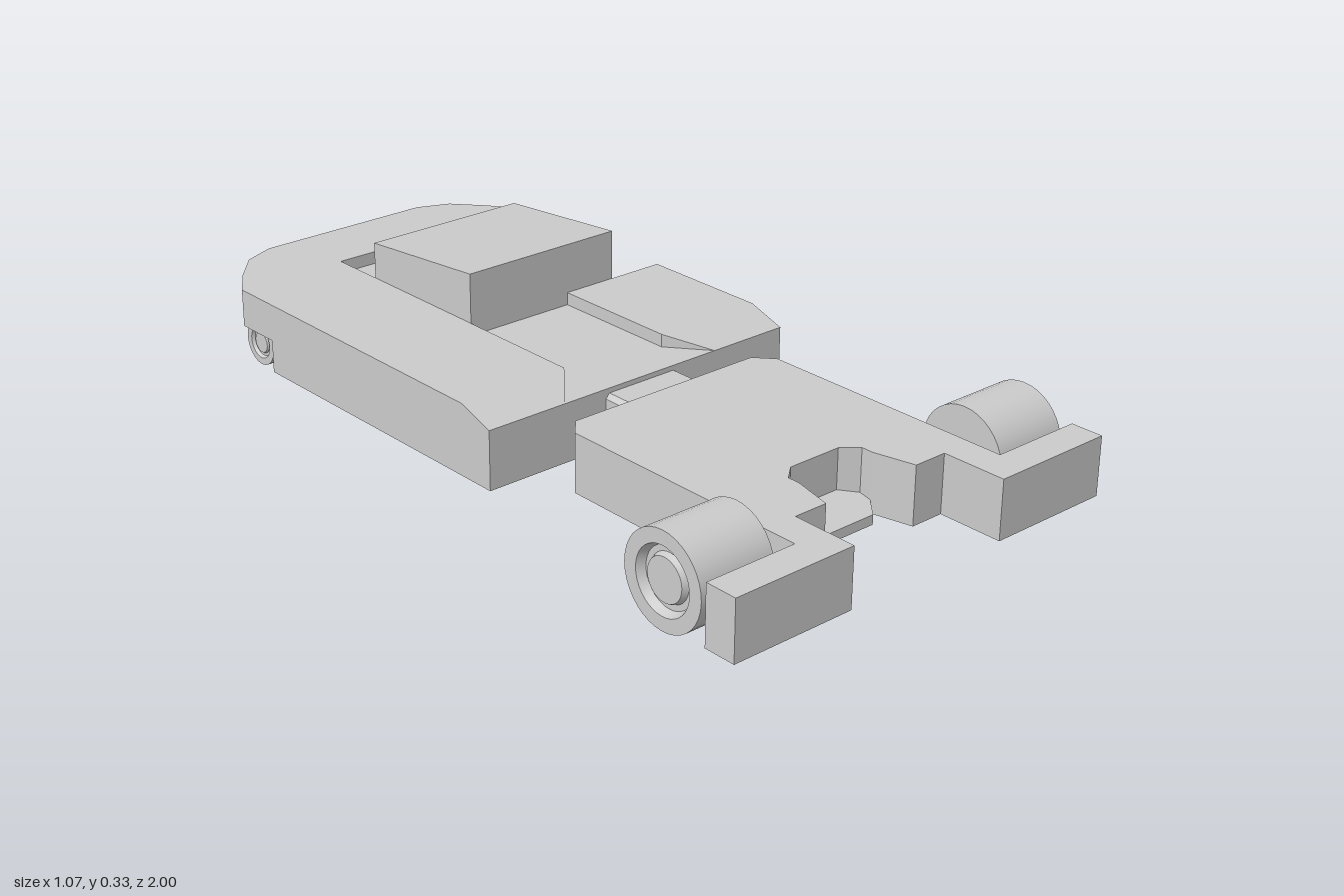
import * as THREE from 'three';
import { ConvexGeometry } from 'three/addons/geometries/ConvexGeometry.js';

const material = new THREE.MeshStandardMaterial({ color: 0xcccccc, flatShading: true });
const smooth = new THREE.MeshStandardMaterial({ color: 0xcccccc });

// Plan outline of [x, z] points raised from y0 to y1
function slab(points, y0, y1) {
  const shape = new THREE.Shape(points.map(([x, z]) => new THREE.Vector2(x, -z)));
  const g = new THREE.ExtrudeGeometry(shape, { depth: y1 - y0, bevelEnabled: false });
  return g.rotateX(-Math.PI / 2).translate(0, y0, 0);
}

// Half outline (+x side) completed by its mirror image
const flipX = (points) => points.map(([x, z]) => [-x, z]).reverse();
const mirrored = (half) => [...half, ...flipX(half)];

function box(x0, x1, y0, y1, z0, z1) {
  return new THREE.BoxGeometry(x1 - x0, y1 - y0, z1 - z0)
    .translate((x0 + x1) / 2, (y0 + y1) / 2, (z0 + z1) / 2);
}

const hull = (points) => new ConvexGeometry(points.map((p) => new THREE.Vector3(...p)));

// Wheel with a recessed ring and a hub on its outer face, axis along +x
function wheelGeometry(r, w) {
  const profile = [
    [r, 0], [r, w], [r * 0.7, w], [r * 0.62, w * 0.9],
    [r * 0.5, w * 0.9], [r * 0.45, w * 0.97],
  ].map((p) => new THREE.Vector2(...p));
  // doubled points keep the rims sharp
  const sharp = profile.flatMap((p) => [p, p.clone()]);
  const points = [new THREE.Vector2(0, 0), ...sharp, new THREE.Vector2(0, w * 0.97)];
  return new THREE.LatheGeometry(points, 36).rotateZ(-Math.PI / 2);
}

export function createModel() {
  const model = new THREE.Group();
  model.name = 'vehicle';
  const add = (name, geometry, mat = material) => {
    const mesh = new THREE.Mesh(geometry, mat);
    mesh.name = name;
    model.add(mesh);
    return mesh;
  };

  // Front chassis with the two forward arms and the nose notch
  add('frontChassis', slab(mirrored([
    [0.07, 0.678], [0.108, 0.71], [0.108, 0.74], [0.132, 0.84], [0.218, 0.84],
    [0.218, 1], [0.533, 1], [0.533, 0.92], [0.3, 0.92], [0.3, 0.265], [0.26, 0.22],
  ]), 0.031, 0.173));

  // Notch floor, sloping down toward the front
  const floorOutline = mirrored([[0.075, 0.78], [0.108, 0.74], [0.108, 0.71], [0.07, 0.678]]);
  add('notchFloor', hull(floorOutline.flatMap(([x, z]) => [
    [x, 0.031, z], [x, 0.075 - 0.2 * (z - 0.678), z],
  ])));

  // Link between chassis and body, with chamfered edges
  const barSection = [[0.105, 0.092], [0.105, 0.15], [0.095, 0.162], [0.095, 0.08]];
  add('couplingBar', hull(barSection.flatMap(([x, y]) => [
    [x, y, 0.13], [-x, y, 0.13], [x, y, 0.23], [-x, y, 0.23],
  ])));

  // Rear body in layers: wheel wells below, an open bay on the left side above
  const tail = [[0.432, -0.81], [0.378, -0.89], [0.31, -0.967], [0.23, -1]];
  const wellSide = [[0.432, -0.69], [0.3, -0.69], [0.3, -0.96], [0.31, -0.967], [0.23, -1]];
  const bay = [[0.432, 0.14], [0.432, -0.29], [0.285, -0.29], [0.285, -0.67], [0.432, -0.67]];
  const corner = [-0.432, 0.14];
  add('bodyFloor', slab(mirrored([[0.432, 0.14], ...wellSide]), 0.031, 0.078));
  add('bodyLower', slab([...bay, ...wellSide, ...flipX(wellSide), corner], 0.078, 0.112));
  add('bodyUpper', slab([...bay, ...tail, ...flipX(tail), corner], 0.112, 0.174));

  // Top deck around the shallow central trench
  add('deck', slab([
    [-0.432, 0.045], [-0.145, 0.045], [-0.145, -0.81], [0.145, -0.81], [0.145, -0.67],
    [0.432, -0.67], ...tail, ...flipX(tail),
  ], 0.174, 0.205));
  add('leftDeck', box(0.145, 0.432, 0.174, 0.205, -0.29, 0.045));

  // Sloping front ends of the deck, flared beside the trench
  for (const s of [1, -1]) {
    add(s > 0 ? 'leftDeckSlope' : 'rightDeckSlope', hull([
      [s * 0.145, 0.174, 0.045], [s * 0.432, 0.174, 0.045], [s * 0.145, 0.205, 0.045],
      [s * 0.432, 0.205, 0.045], [s * 0.222, 0.174, 0.14], [s * 0.432, 0.174, 0.14],
    ]));
  }

  // Engine box with a top that falls toward the back
  const engine = box(-0.145, 0.286, 0.078, 0.327, -0.665, -0.29);
  const p = engine.attributes.position;
  for (let i = 0; i < p.count; i++) {
    if (p.getY(i) > 0.2 && p.getZ(i) < -0.5) p.setY(i, 0.295);
  }
  engine.computeVertexNormals();
  add('engineBox', engine);

  // Wheels: the front pair has outward hubs, the rear pair both face right
  for (const s of [1, -1]) {
    const side = s > 0 ? 'Left' : 'Right';
    const front = add(`front${side}Wheel`, wheelGeometry(0.11, 0.193), smooth);
    front.position.set(s * 0.332, 0.118, 0.79);
    front.rotation.y = s > 0 ? 0 : Math.PI;
    const rear = add(`rear${side}Wheel`, wheelGeometry(0.056, 0.076), smooth);
    rear.position.set(s > 0 ? 0.389 : -0.313, 0.056, -0.81);
    rear.rotation.y = Math.PI;
  }
  return model;
}
